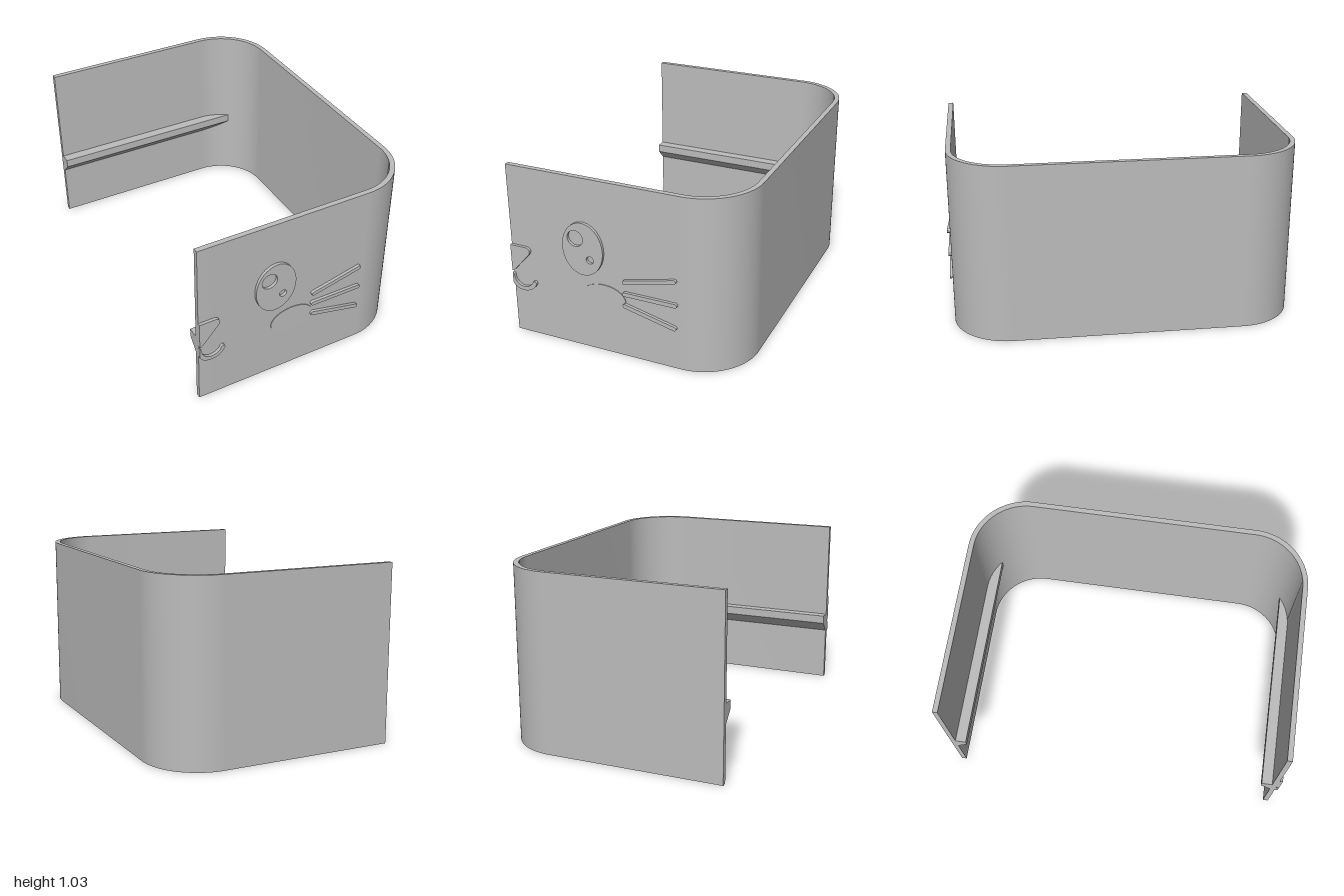
import * as THREE from 'three';
import { toCreasedNormals } from 'three/addons/utils/BufferGeometryUtils.js';

const X0 = -0.68, X1 = 0.677;      // open end and curved end
const HEIGHT = 1.035, WALL = 0.03;
const HALF = 0.9915, ZC = -0.0085; // half depth and centre of the band
const R = 0.33;                    // outer corner radius
const FACE = ZC + HALF;            // front surface

export function createModel() {
  const model = new THREE.Group();
  const grey = new THREE.MeshStandardMaterial({ color: 0xbcbcbc });
  grey.name = 'grey';

  const add = (name, geometry) => {
    const mesh = new THREE.Mesh(geometry, grey);
    mesh.name = name;
    model.add(mesh);
    return mesh;
  };
  const extrude = (shape, depth, curveSegments = 24) => toCreasedNormals(
    new THREE.ExtrudeGeometry(shape, { depth, bevelEnabled: false, curveSegments }), 0.5);

  // U-shaped band, drawn in plan and extruded upwards
  const cx = X1 - R, cz = HALF - R, r = R - WALL, h = HALF - WALL;
  const plan = new THREE.Shape();
  plan.moveTo(X0, -HALF);
  plan.lineTo(cx, -HALF);
  plan.absarc(cx, -cz, R, -Math.PI / 2, 0, false);
  plan.absarc(cx, cz, R, 0, Math.PI / 2, false);
  plan.lineTo(X0, HALF);
  plan.lineTo(X0, h);
  plan.lineTo(cx, h);
  plan.absarc(cx, cz, r, Math.PI / 2, 0, true);
  plan.absarc(cx, -cz, r, 0, -Math.PI / 2, true);
  plan.lineTo(X0, -h);
  plan.closePath();
  const band = add('band', extrude(plan, HEIGHT).rotateX(-Math.PI / 2));
  band.position.z = ZC;

  // Inner rails with a sloped underside, tapering out along the rounded corner
  const tip = HALF - 0.093;
  const endX = cx + Math.sqrt(r * r - (tip - cz) ** 2);
  const xs = [X0];
  for (let i = 0; i <= 12; i++) xs.push(cx + (endX - cx) * i / 12);
  function railGeometry(side) {
    const sections = xs.map(x => {
      const w = x <= cx ? h : cz + Math.sqrt(Math.max(0, r * r - (x - cx) ** 2));
      return [[w, 0.44], [tip, 0.44], [tip, 0.39], [w, 0.39 - (w - tip)]]
        .map(([z, y]) => [x, y, side * z + ZC]);
    });
    const out = [];
    const tri = (a, b, c) => out.push(...(side > 0 ? [...a, ...b, ...c] : [...a, ...c, ...b]));
    const quad = (a, b, c, d) => { tri(a, b, c); tri(a, c, d); };
    for (let i = 0; i < sections.length - 1; i++) {
      const s = sections[i], t = sections[i + 1];
      for (let k = 0; k < 4; k++) {
        const n = (k + 1) % 4;
        quad(s[k], t[k], t[n], s[n]);
      }
    }
    const first = sections[0], last = sections[sections.length - 1];
    quad(first[0], first[1], first[2], first[3]);
    quad(last[3], last[2], last[1], last[0]);
    const g = new THREE.BufferGeometry();
    g.setAttribute('position', new THREE.Float32BufferAttribute(out, 3));
    g.computeVertexNormals();
    return g;
  }
  add('frontRail', railGeometry(1));
  add('backRail', railGeometry(-1));

  // Raised relief on the front face
  const relief = (name, shape, depth = 0.017) => {
    const mesh = add(name, extrude(shape, depth));
    mesh.position.z = FACE;
  };

  // Eye with two highlight holes
  const eye = new THREE.Shape().absellipse(-0.22, 0.622, 0.123, 0.157, 0, Math.PI * 2);
  for (const [x, y, rad] of [[-0.262, 0.68, 0.047], [-0.176, 0.565, 0.022]])
    eye.holes.push(new THREE.Path().absarc(x, y, rad, 0, Math.PI * 2, true));
  relief('eye', eye);

  // Cheek, a low oval
  relief('cheek', new THREE.Shape().absellipse(-0.105, 0.341, 0.132, 0.082, 0, Math.PI * 2), 0.004);

  // Whiskers with round ends
  for (const [ax, ay, bx, by] of [
    [0.026, 0.473, 0.318, 0.543], [0.026, 0.4, 0.323, 0.4], [0.026, 0.327, 0.318, 0.257]]) {
    const a = Math.atan2(by - ay, bx - ax), q = Math.PI / 2;
    const s = new THREE.Shape();
    s.absarc(bx, by, 0.012, a - q, a + q, false);
    s.absarc(ax, ay, 0.012, a + q, a + 3 * q, false);
    s.closePath();
    relief('whisker', s);
  }

  // Half nose, cut off at the open end
  const nose = new THREE.Shape();
  nose.moveTo(X0, 0.393);
  nose.quadraticCurveTo(-0.67, 0.393, -0.662, 0.402);
  nose.lineTo(-0.567, 0.51);
  nose.bezierCurveTo(-0.55, 0.53, -0.56, 0.555, -0.585, 0.555);
  nose.lineTo(X0, 0.555);
  nose.closePath();
  relief('nose', nose);

  // Half mouth, a curved stroke cut off at the open end
  const mouth = new THREE.Shape();
  mouth.moveTo(X0, 0.318);
  mouth.bezierCurveTo(-0.655, 0.264, -0.56, 0.264, -0.528, 0.331);
  mouth.bezierCurveTo(-0.525, 0.35, -0.547, 0.356, -0.552, 0.338);
  mouth.bezierCurveTo(-0.575, 0.291, -0.66, 0.285, -0.669, 0.362);
  mouth.quadraticCurveTo(-0.67, 0.376, X0, 0.379);
  mouth.closePath();
  relief('mouth', mouth);

  return model;
}
